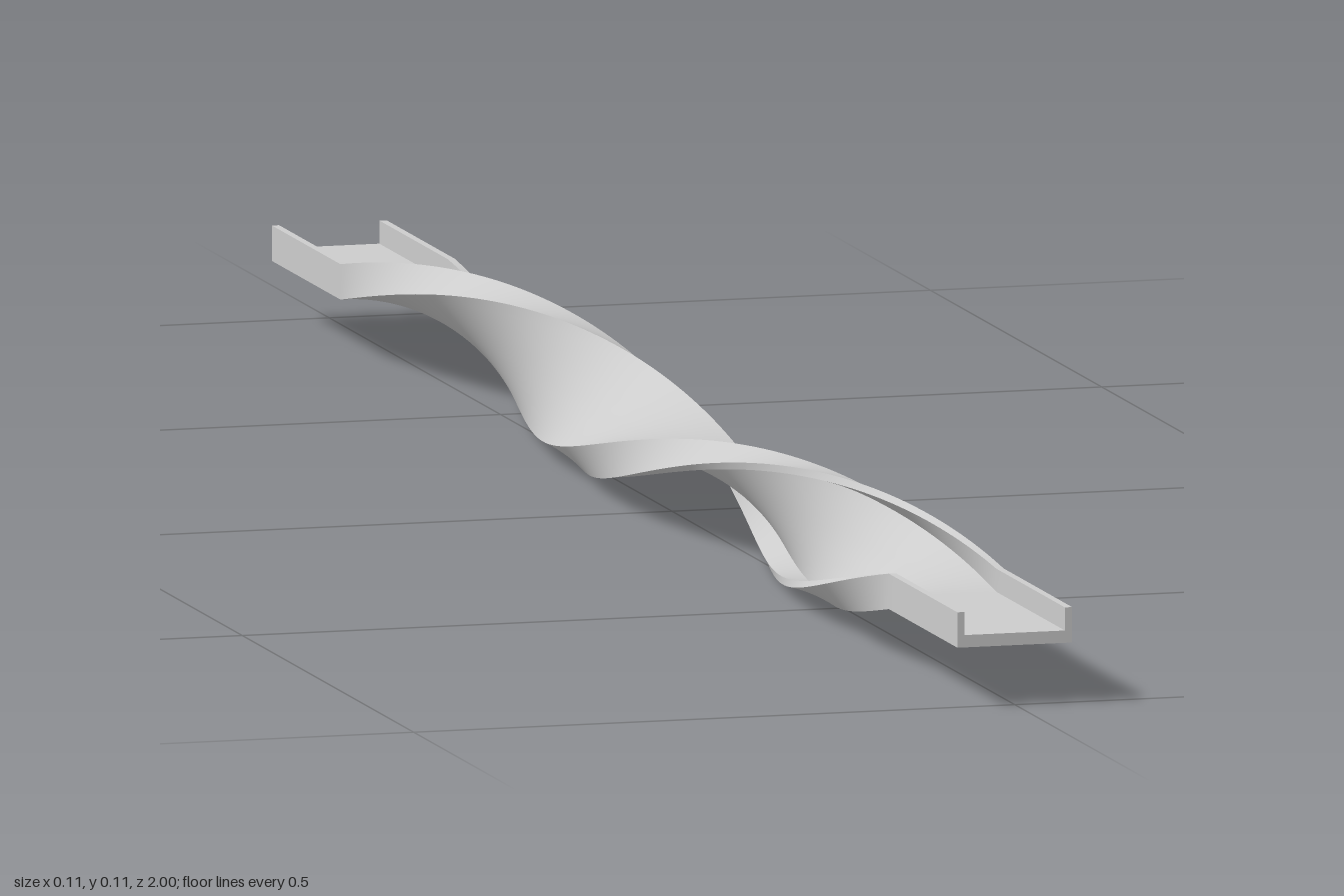
import * as THREE from 'three';
import { toCreasedNormals } from 'three/addons/utils/BufferGeometryUtils.js';

const HALF_LENGTH = 1, HALF_TWIST = 0.8; // straight ends beyond the twisted part
const HALF_WIDTH = 0.0477, LIP = 0.006; // channel half width, flange thickness
const BOTTOM = -0.005, FLOOR = 0.005, TOP = 0.0237; // heights about the twist axis
const AXIS_Y = Math.hypot(HALF_WIDTH, TOP);

// Evenly spaced points across the channel, so that wide faces bend smoothly
function across(x0, x1, y, n = 10) {
  return Array.from({ length: n + 1 }, (_, i) => new THREE.Vector2(x0 + (x1 - x0) * i / n, y));
}

// U-shaped cross-section, open at the top
function channelSection() {
  const inner = HALF_WIDTH - LIP;
  return new THREE.Shape([
    ...across(-HALF_WIDTH, HALF_WIDTH, BOTTOM),
    new THREE.Vector2(HALF_WIDTH, TOP),
    new THREE.Vector2(inner, TOP),
    ...across(inner, -inner, FLOOR),
    new THREE.Vector2(-inner, TOP),
    new THREE.Vector2(-HALF_WIDTH, TOP),
  ]);
}

// One full turn about z between the two straight ends
function twist(geometry) {
  const pos = geometry.attributes.position;
  const axis = new THREE.Vector3(0, 0, 1), v = new THREE.Vector3();
  for (let i = 0; i < pos.count; i++) {
    v.fromBufferAttribute(pos, i);
    const t = THREE.MathUtils.clamp((HALF_TWIST - v.z) / (2 * HALF_TWIST), 0, 1);
    v.applyAxisAngle(axis, t * Math.PI * 2);
    pos.setXYZ(i, v.x, v.y, v.z);
  }
}

export function createModel() {
  const group = new THREE.Group();
  group.name = 'twistedChannel';

  const geometry = new THREE.ExtrudeGeometry(channelSection(), {
    depth: 2 * HALF_LENGTH, steps: 160, bevelEnabled: false,
  });
  geometry.translate(0, 0, -HALF_LENGTH);
  twist(geometry);

  const channel = new THREE.Mesh(
    toCreasedNormals(geometry, 0.5),
    new THREE.MeshStandardMaterial({ color: 0xcccccc }),
  );
  channel.name = 'channel';
  channel.position.y = AXIS_Y;
  group.add(channel);
  return group;
}
